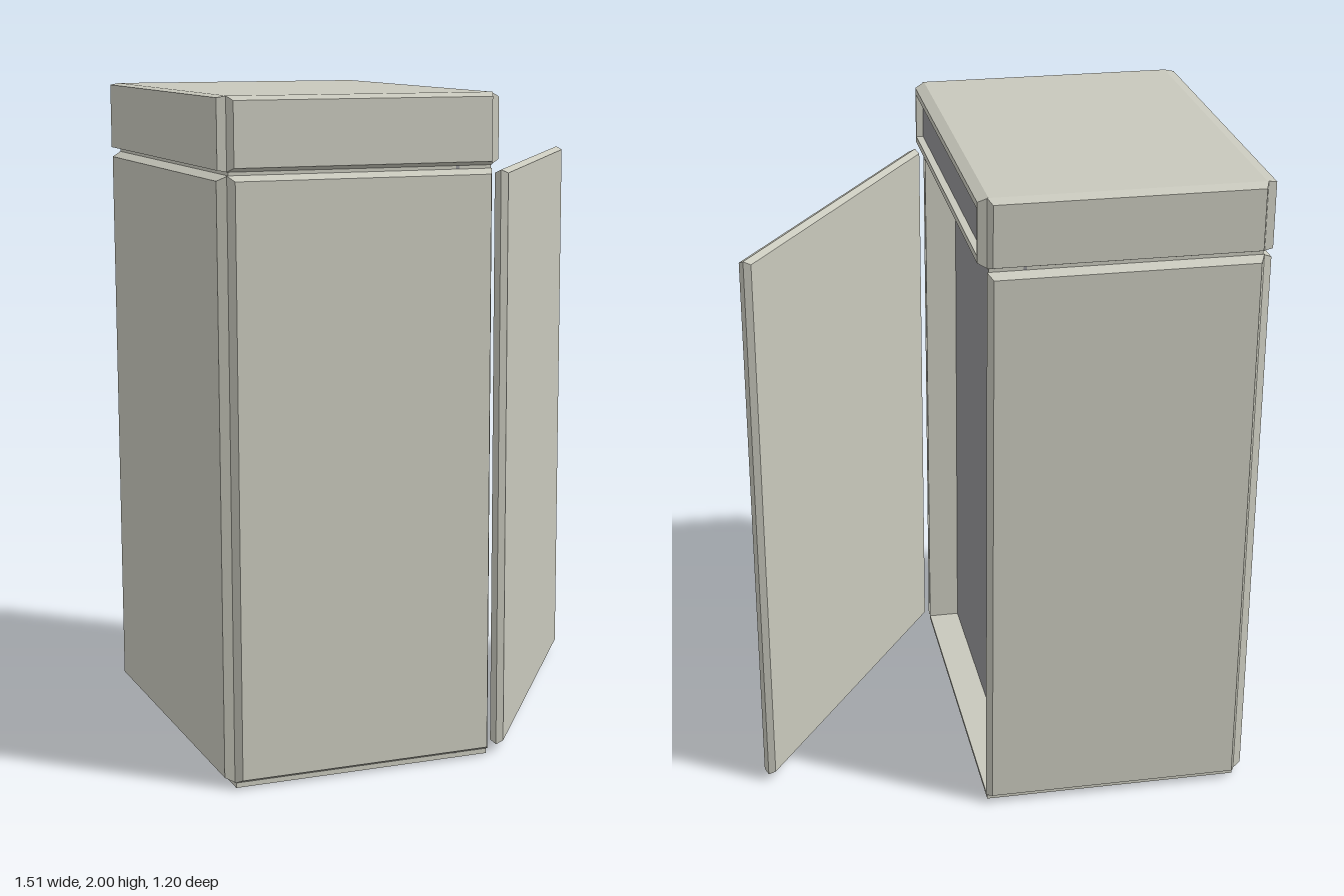
import * as THREE from 'three';

const shell = new THREE.MeshStandardMaterial({ color: 0xc8c8bc, flatShading: true });
const inner = new THREE.MeshStandardMaterial({ color: 0x949497, flatShading: true });

// Box given by its minimum and maximum corners
function box(name, min, max, material = shell) {
  const size = max.map((v, i) => v - min[i]);
  const mesh = new THREE.Mesh(new THREE.BoxGeometry(...size), material);
  mesh.position.set(...max.map((v, i) => (v + min[i]) / 2));
  mesh.name = name;
  return mesh;
}

// Panel whose rim tapers by `inset` towards +z, or towards both faces
function panel(name, w, h, t, inset, bothSides = false) {
  const geo = new THREE.BoxGeometry(w, h, t, 1, 1, bothSides ? 2 : 1);
  const p = geo.attributes.position;
  for (let i = 0; i < p.count; i++) {
    const z = p.getZ(i);
    if (z > 0.001 || (bothSides && z < -0.001)) {
      p.setX(i, p.getX(i) - Math.sign(p.getX(i)) * inset);
      p.setY(i, p.getY(i) - Math.sign(p.getY(i)) * inset);
    }
  }
  geo.computeVertexNormals();
  const mesh = new THREE.Mesh(geo, shell);
  mesh.name = name;
  return mesh;
}

export function createModel() {
  const model = new THREE.Group();
  const L = -0.73, R = 0.07, D = 0.57, T = 0.03;
  const midX = (L + R) / 2, recessX = -0.03;

  // Solid cores, base and the recess behind the door
  model.add(
    box('cabinetCore', [L, 0, -D], [recessX - 0.01, 1.8, D]),
    box('insideWall', [recessX - 0.01, 0.012, -D], [recessX, 1.8, D], inner),
    box('base', [recessX - 0.01, 0, -D], [R, 0.012, D]),
    box('topBoxCore', [L, 1.8, -D], [R, 2, D])
  );
  for (const s of [1, -1]) {
    const z = [s * D, s * (D - 0.008)].sort((a, b) => a - b);
    model.add(box('recessCheek', [recessX, 0.012, z[0]], [R, 1.8, z[1]]));
  }

  // Bevelled panels of the cabinet and of the box on top
  const tiers = [['cabinet', 0.015, 1.78, 0.015], ['topBox', 1.79, 2, 0.012]];
  for (const [name, y0, y1, inset] of tiers) {
    const y = (y0 + y1) / 2, h = y1 - y0;
    for (const s of [1, -1]) {
      const face = panel(name + (s > 0 ? 'Front' : 'Back'), R - L + 0.008, h, T, inset);
      face.position.set(midX, y, s * (D + T / 2));
      face.rotation.y = s > 0 ? 0 : Math.PI;
      model.add(face);
    }
    const side = panel(name + 'RightSide', 2 * D, h, T, name === 'topBox' ? 0.005 : inset);
    side.position.set(L - T / 2, y, 0);
    side.rotation.y = -Math.PI / 2;
    model.add(side);
  }

  // Framed window on the left side of the top box
  const rect = (P, w, h) => new P([[-w, -h], [w, -h], [w, h], [-w, h]].map(c => new THREE.Vector2(...c)));
  const outline = rect(THREE.Shape, D, 0.105);
  outline.holes.push(rect(THREE.Path, 0.547, 0.07));
  const frameGeo = new THREE.ExtrudeGeometry(outline, { depth: T, bevelEnabled: false });
  const p = frameGeo.attributes.position;
  for (let i = 0; i < p.count; i++) {
    const x = p.getX(i), y = p.getY(i);
    if (p.getZ(i) > 0.01 && Math.abs(x) > 0.56) {
      p.setXY(i, x - Math.sign(x) * 0.012, y - Math.sign(y) * 0.015);
    }
  }
  frameGeo.computeVertexNormals();
  const frame = new THREE.Mesh(frameGeo, shell);
  frame.name = 'windowFrame';
  frame.position.set(R, 1.895, 0);
  frame.rotation.y = Math.PI / 2;
  model.add(frame, box('windowPane', [R, 1.825, -0.547], [R + 0.008, 1.965, 0.547], inner));

  // Open door, hinged at the front left corner
  const door = panel('door', 1.123, 1.75, 0.04, 0.01, true);
  door.position.set(0.42, 0.9, 0.112);
  door.rotation.y = 0.967;
  model.add(door);

  return model;
}
